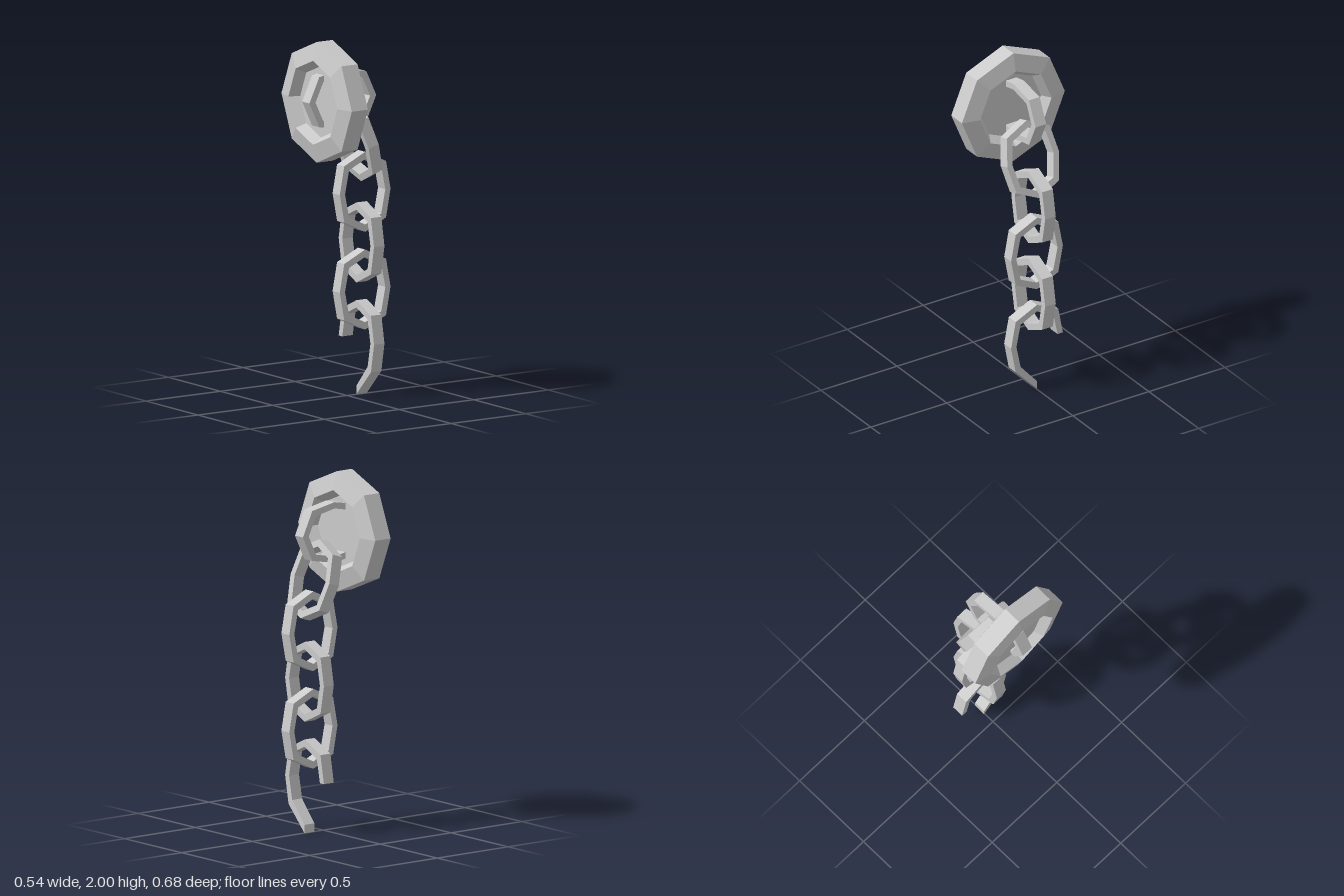
import * as THREE from 'three';

const material = new THREE.MeshStandardMaterial({ color: 0xcccccc, flatShading: true });
const DEPTH = 0.07;

// Eight-sided loop, taller than wide, from its tip, shoulder and side points
function loop(side, shoulderX, shoulderY, tip) {
  return [
    [0, tip], [-shoulderX, shoulderY], [-side, 0], [-shoulderX, -shoulderY],
    [0, -tip], [shoulderX, -shoulderY], [side, 0], [shoulderX, shoulderY],
  ].map(([x, y]) => new THREE.Vector2(x, y));
}
const outer = () => loop(0.17, 0.14, 0.158, 0.224);
const inner = () => loop(0.135, 0.108, 0.132, 0.183);

// Extrudes a link outline; sideways links lie in the yz plane
function linkGeometry(shape, sideways) {
  const geometry = new THREE.ExtrudeGeometry(shape, { depth: DEPTH, bevelEnabled: false });
  geometry.translate(0, 0, -DEPTH / 2);
  if (sideways) geometry.rotateY(-Math.PI / 2);
  return geometry;
}

function closedShape() {
  const shape = new THREE.Shape(outer());
  shape.holes.push(new THREE.Path(inner()));
  return shape;
}

// Last link: cut at one side, its other arm bent down to a loose tip
function brokenShape() {
  const out = outer(), inn = inner();
  out[4].set(0, -0.302);
  inn[4].set(0, -0.255);
  // arm runs from the cut side over the top and down to the loose tip
  const arm = [6, 7, 0, 1, 2, 3, 4];
  return new THREE.Shape([
    ...arm.map((i) => out[i]),
    ...arm.map((i) => inn[i]).reverse(),
  ]);
}

export function createModel() {
  const group = new THREE.Group();
  const add = (name, geometry, x, y, z = 0, tilt = 0) => {
    const mesh = new THREE.Mesh(geometry, material);
    mesh.name = name;
    mesh.position.set(x, y, z);
    mesh.rotation.z = tilt;
    group.add(mesh);
  };

  // Octagonal wall plate, bevelled and recessed on both faces
  const profile = [
    [0, -0.025], [0.2, -0.025], [0.235, -0.079], [0.338, -0.054],
    [0.338, 0.054], [0.235, 0.079], [0.2, 0.025], [0, 0.025],
  ].map(([r, h]) => new THREE.Vector2(r, h));
  const plate = new THREE.LatheGeometry(profile, 8);
  plate.rotateZ(-Math.PI / 2);
  add('wallPlate', plate, -0.15, 1.664);

  // Chain links: x, y, sideways, tilt
  const links = [
    ['anchorLink', -0.05, 1.67, false, Math.PI / 2],
    ['tiltedLink', 0.063, 1.413, true, 0.307],
    ['chainLink1', 0.1, 1.135, false, 0],
    ['chainLink2', 0.1, 0.85, true, 0],
    ['chainLink3', 0.1, 0.588, false, 0],
  ];
  for (const [name, x, y, sideways, tilt] of links) {
    add(name, linkGeometry(closedShape(), sideways), x, y, -0.004, tilt);
  }

  // Shape x becomes z here, so the long arm is mirrored to the front
  const broken = brokenShape();
  const mirrored = new THREE.Shape(broken.getPoints().map((p) => new THREE.Vector2(-p.x, p.y)));
  add('brokenLink', linkGeometry(mirrored, true), 0.1, 0.303, -0.004);

  return group;
}
